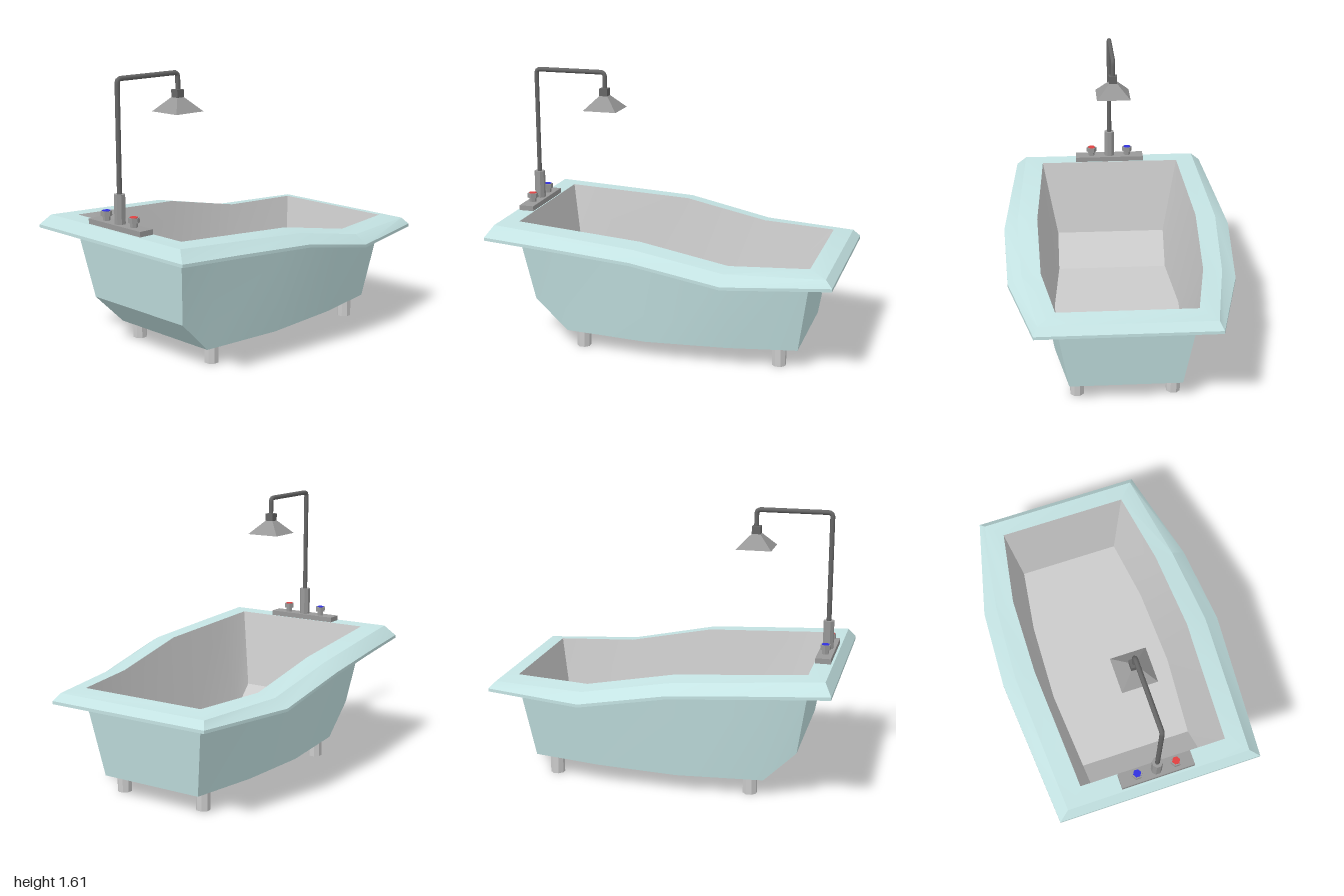
import * as THREE from 'three';
import { toCreasedNormals } from 'three/addons/utils/BufferGeometryUtils.js';

const mat = (color, flatShading = false) => new THREE.MeshStandardMaterial({ color, flatShading });
const TEAL = 0xc4e3e3, GREY = 0xcccccc, STEEL = 0x999999, DARK = 0x666666;

// Mirrors one side's stations [x, y, z] into a closed ring, counterclockwise from above
const ring = (side) => [...side, ...[...side].reverse().map(([x, y, z]) => [x, y, -z])];

// Skins consecutive rings; optionally closes the first ring below or the last above
function skin(rings, { capBottom = false, capTop = false }) {
  const n = rings[0].length, index = [];
  for (let r = 0; r < rings.length - 1; r++) {
    for (let i = 0; i < n; i++) {
      const j = (i + 1) % n, a = r * n, b = a + n;
      index.push(a + i, a + j, b + j, a + i, b + j, b + i);
    }
  }
  const top = (rings.length - 1) * n;
  for (let i = 0; i < n / 2 - 1; i++) {
    const a = i, b = i + 1, c = n - 2 - i, d = n - 1 - i;
    if (capBottom) index.push(a, c, b, a, d, c);
    if (capTop) index.push(top + a, top + b, top + c, top + a, top + c, top + d);
  }
  const geo = new THREE.BufferGeometry();
  geo.setAttribute('position', new THREE.Float32BufferAttribute(rings.flat(2), 3));
  geo.setIndex(index);
  return toCreasedNormals(geo, 0.4);
}

export function createModel() {
  const model = new THREE.Group();
  model.name = 'bathtub';
  const add = (name, geo, material, x = 0, y = 0, z = 0, parent = model) => {
    const mesh = new THREE.Mesh(geo, material);
    mesh.name = name;
    mesh.position.set(x, y, z);
    parent.add(mesh);
    return mesh;
  };

  // Tub cross-sections, from the head end to the foot end
  const outerFloor = ring([[-0.79, 0.29, 0.375], [-0.6, 0.103, 0.365], [-0.1, 0.103, 0.41], [0.38, 0.115, 0.395], [0.785, 0.115, 0.32]]);
  const underRim = ring([[-0.857, 0.70, 0.445], [-0.6, 0.687, 0.458], [-0.1, 0.655, 0.485], [0.41, 0.556, 0.47], [0.855, 0.556, 0.39]]);
  const edgeLow = ring([[-1, 0.70, 0.61], [-0.6, 0.682, 0.641], [-0.1, 0.655, 0.68], [0.41, 0.556, 0.655], [1, 0.556, 0.51]]);
  const edgeHigh = edgeLow.map(([x, y, z]) => [x, y + 0.018, z]);
  const rimOuter = ring([[-0.96, 0.78, 0.55], [-0.6, 0.757, 0.571], [-0.1, 0.723, 0.6], [0.41, 0.622, 0.575], [0.96, 0.615, 0.485]]);
  const rimInner = ring([[-0.852, 0.78, 0.44], [-0.6, 0.765, 0.453], [-0.1, 0.735, 0.48], [0.41, 0.635, 0.465], [0.855, 0.635, 0.39]]);
  const innerFloor = ring([[-0.765, 0.31, 0.35], [-0.59, 0.13, 0.35], [-0.1, 0.13, 0.388], [0.38, 0.14, 0.37], [0.77, 0.14, 0.315]]);

  add('tubShell', skin([outerFloor, underRim, edgeLow, edgeHigh, rimOuter, rimInner], { capBottom: true }), mat(TEAL));
  add('tubBasin', skin([rimInner, innerFloor], { capTop: true }), mat(GREY));

  // Feet
  const footGeo = new THREE.CylinderGeometry(0.042, 0.042, 0.12, 8).rotateY(Math.PI / 8);
  for (const [x, z, end] of [[-0.515, 0.31, 'head'], [0.67, 0.275, 'foot']])
    for (const s of [1, -1])
      add(`${end}EndFoot${s > 0 ? 'Front' : 'Back'}`, footGeo, mat(GREY, true), x, 0.06, s * z);

  // Tap plate and pipe collar
  add('tapPlate', new THREE.BoxGeometry(0.088, 0.03, 0.44), mat(STEEL), -0.902, 0.795, 0);
  add('pipeCollar', new THREE.CylinderGeometry(0.032, 0.032, 0.17, 8).rotateY(Math.PI / 8), mat(STEEL, true), -0.902, 0.89, 0);

  // Hot and cold taps
  for (const [name, s, color] of [['hotTap', 1, 0xe04040], ['coldTap', -1, 0x3030e0]]) {
    const tap = new THREE.Group();
    tap.name = name;
    tap.position.set(-0.902, 0.81, s * 0.117);
    model.add(tap);
    add('tapStem', new THREE.CylinderGeometry(0.021, 0.021, 0.03, 6), mat(STEEL, true), 0, 0.013, 0, tap);
    add('tapKnob', new THREE.CylinderGeometry(0.032, 0.032, 0.028, 6), mat(STEEL, true), 0, 0.04, 0, tap);
    add('tapMarker', new THREE.CylinderGeometry(0.024, 0.024, 0.004, 6), mat(color, true), 0, 0.055, 0, tap);
  }

  // Shower pipe: straight runs joined by short bends
  const v = (x, y) => new THREE.Vector3(x, y, 0);
  const path = new THREE.CurvePath();
  path.add(new THREE.LineCurve3(v(-0.902, 0.96), v(-0.902, 1.575)));
  path.add(new THREE.QuadraticBezierCurve3(v(-0.902, 1.575), v(-0.902, 1.6), v(-0.877, 1.6)));
  path.add(new THREE.LineCurve3(v(-0.877, 1.6), v(-0.495, 1.6)));
  path.add(new THREE.QuadraticBezierCurve3(v(-0.495, 1.6), v(-0.47, 1.6), v(-0.47, 1.575)));
  path.add(new THREE.LineCurve3(v(-0.47, 1.575), v(-0.47, 1.49)));
  add('showerPipe', new THREE.TubeGeometry(path, 90, 0.014, 8), mat(DARK));

  // Shower head: square neck flaring into a pyramid
  const square = (top, bottom, h) =>
    new THREE.CylinderGeometry(top * Math.SQRT2, bottom * Math.SQRT2, h, 4).rotateY(Math.PI / 4);
  add('showerNeck', square(0.025, 0.025, 0.045), mat(DARK, true), -0.472, 1.483, 0);
  add('showerHead', square(0.025, 0.102, 0.08), mat(STEEL, true), -0.472, 1.422, 0);

  return model;
}
